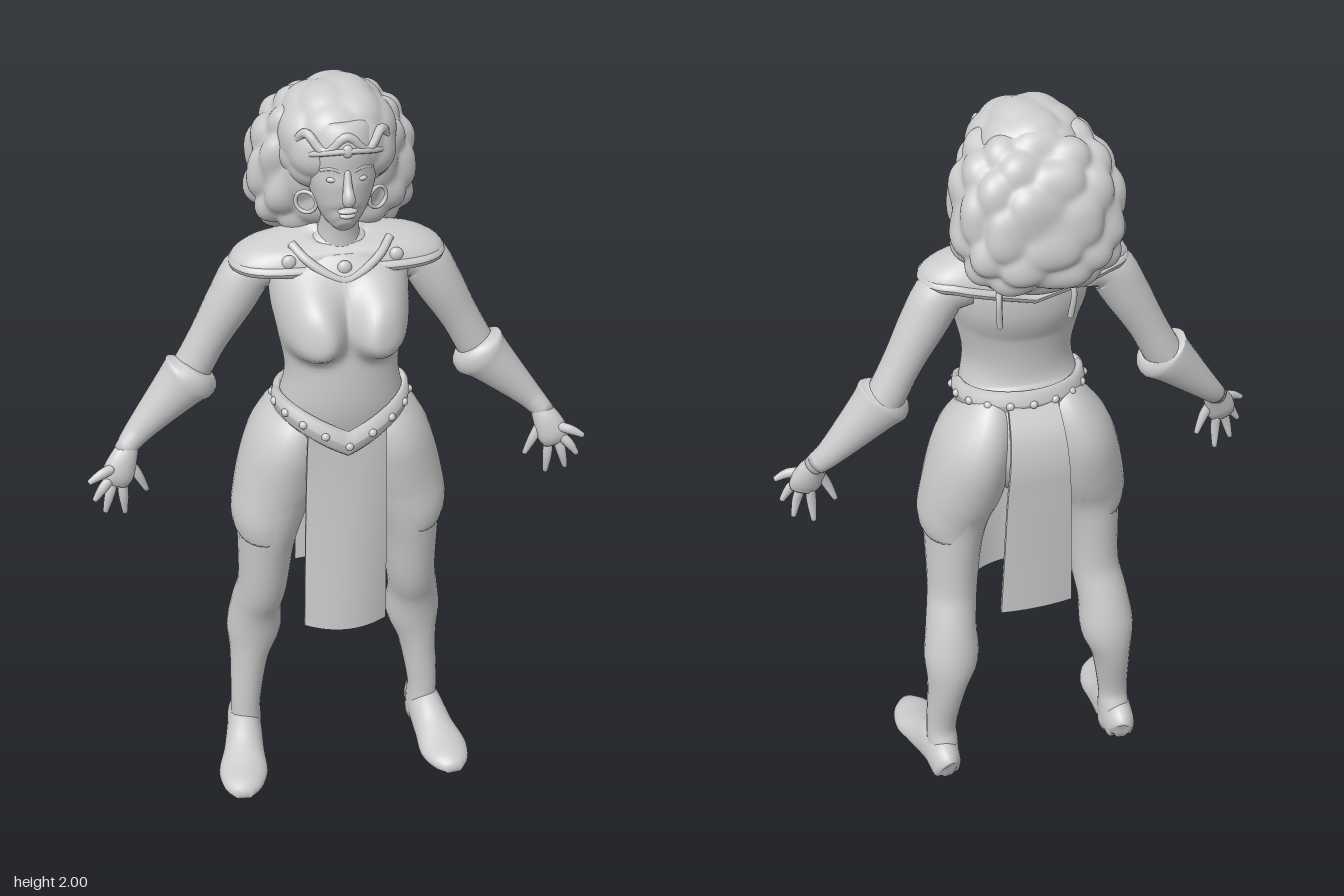
import * as THREE from 'three';
import { mergeVertices } from 'three/addons/utils/BufferGeometryUtils.js';

const V = (x, y, z) => new THREE.Vector3(x, y, z);

export function createModel() {
  const model = new THREE.Group();
  const clay = new THREE.MeshStandardMaterial({ color: 0xcccccc });
  clay.name = 'clay grey';

  function add(name, geometry, x = 0, y = 0, z = 0) {
    const mesh = new THREE.Mesh(geometry, clay);
    mesh.name = name;
    mesh.position.set(x, y, z);
    model.add(mesh);
    return mesh;
  }

  // Smooth closed loft through elliptical rings [x, y, z, halfWidth, halfDepth]
  function loft(rings, ref = V(0, 0, 1), around = 24, per = 4) {
    const path = new THREE.CatmullRomCurve3(rings.map(r => V(r[0], r[1], r[2])), false, 'catmullrom', 0.5);
    const size = new THREE.CatmullRomCurve3(rings.map(r => V(r[3], r[4], 0)), false, 'catmullrom', 0.5);
    const n = (rings.length - 1) * per, pos = [], idx = [];
    for (let i = 0; i <= n; i++) {
      const c = path.getPoint(i / n), s = size.getPoint(i / n), t = path.getTangent(i / n);
      const u = ref.clone().cross(t).normalize(), v = t.clone().cross(u);
      for (let j = 0; j < around; j++) {
        const a = j / around * Math.PI * 2;
        pos.push(...c.clone().addScaledVector(u, Math.cos(a) * s.x).addScaledVector(v, Math.sin(a) * s.y));
        if (i === n) continue;
        const k = (j + 1) % around, p = i * around, q = p + around;
        idx.push(p + j, p + k, q + j, p + k, q + k, q + j);
      }
    }
    const first = pos.length / 3, last = n * around;
    pos.push(...path.getPoint(0), ...path.getPoint(1));
    for (let j = 0; j < around; j++) {
      const k = (j + 1) % around;
      idx.push(first, k, j, first + 1, last + j, last + k);
    }
    const g = new THREE.BufferGeometry();
    g.setAttribute('position', new THREE.Float32BufferAttribute(pos, 3));
    g.setIndex(idx);
    g.computeVertexNormals();
    return g;
  }

  // Move every vertex by a rule
  function shape(g, rule) {
    const p = g.attributes.position, v = V(0, 0, 0);
    for (let i = 0; i < p.count; i++) {
      v.fromBufferAttribute(p, i);
      rule(v);
      p.setXYZ(i, v.x, v.y, v.z);
    }
    g.computeVertexNormals();
    return g;
  }

  const ball = (rx, ry, rz) => new THREE.SphereGeometry(1, 20, 14).scale(rx, ry, rz);
  const tube = (pts, r, seg = 32) =>
    new THREE.TubeGeometry(new THREE.CatmullRomCurve3(pts.map(p => V(...p))), seg, r, 8);

  // Rounded mass covered with soft curls, narrowing upwards by taper and leaning forward by lean
  function curls(rx, ry, rz, count, bump, boxy, taper, lean) {
    const seeds = [];
    for (let i = 0; i < count; i++) {
      const y = 1 - 2 * (i + 0.5) / count, r = Math.sqrt(1 - y * y), a = i * 2.39996;
      seeds.push(V(Math.cos(a) * r, y, Math.sin(a) * r));
    }
    let g = new THREE.IcosahedronGeometry(1, 26);
    g.deleteAttribute('normal');
    g.deleteAttribute('uv');
    g = mergeVertices(g, 1e-4);
    const soft = c => Math.sign(c) * Math.pow(Math.abs(c), boxy), reach = 5.5 / count;
    return shape(g, v => {
      const near = seeds.reduce((sum, s) => sum + Math.exp(-6 * s.distanceToSquared(v) / reach), 0);
      const k = 1 + bump * (0.9 + Math.log(near) / 6), w = 1 - taper * v.y, shift = lean * v.y;
      v.set(soft(v.x) * rx * w, soft(v.y) * ry, soft(v.z) * rz).multiplyScalar(k);
      v.z += shift;
    });
  }

  // Torso with bust, neck and head
  add('torso', shape(loft([
    [0, 0.92, 0.02, 0.07, 0.07], [0, 1.0, 0.025, 0.18, 0.115], [0, 1.08, 0.03, 0.195, 0.132],
    [0, 1.15, 0.05, 0.178, 0.122], [0, 1.22, 0.075, 0.156, 0.112], [0, 1.3, 0.08, 0.143, 0.11],
    [0, 1.4, 0.07, 0.16, 0.115], [0, 1.48, 0.045, 0.172, 0.12], [0, 1.55, 0.028, 0.165, 0.106],
    [0, 1.6, 0.024, 0.115, 0.084], [0, 1.64, 0.03, 0.05, 0.05]], V(0, 0, 1), 96, 8), v => {
    const u = (Math.abs(v.x) - 0.088) / 0.076, w = (v.y - 1.43) / (v.y > 1.43 ? 0.115 : 0.07);
    if (v.z > 0.03) v.z += 0.08 * Math.exp(-((u * u + w * w) ** 2)) * Math.min(1, (v.z - 0.03) / 0.06);
  }));
  add('neck', loft([[0, 1.58, 0.03, 0.065, 0.06], [0, 1.66, 0.04, 0.048, 0.052], [0, 1.75, 0.06, 0.05, 0.055]]));
  add('head', loft([
    [0, 1.682, 0.128, 0.018, 0.024], [0, 1.695, 0.116, 0.036, 0.046], [0, 1.72, 0.098, 0.057, 0.067],
    [0, 1.77, 0.078, 0.077, 0.089], [0, 1.82, 0.068, 0.085, 0.093], [0, 1.88, 0.062, 0.086, 0.099],
    [0, 1.93, 0.05, 0.07, 0.08], [0, 1.96, 0.05, 0.025, 0.03]], V(0, 0, 1), 32));
  add('nose', loft([[0, 1.84, 0.152, 0.008, 0.008], [0, 1.8, 0.164, 0.011, 0.014],
    [0, 1.775, 0.176, 0.016, 0.018], [0, 1.762, 0.166, 0.013, 0.012]], V(0, 0, 1), 14));
  add('upperLip', ball(0.024, 0.007, 0.012), 0, 1.739, 0.161);
  add('lowerLip', ball(0.02, 0.008, 0.012), 0, 1.727, 0.159);

  // Hair: big curly mass behind, smoother crown in front
  add('curlyHair', curls(0.19, 0.185, 0.14, 58, 0.13, 0.8, 0.13, 0.035), 0, 1.775, -0.08);
  add('hairCrown', curls(0.138, 0.122, 0.142, 26, 0.08, 0.9, 0.1, -0.01), 0, 1.872, -0.005);
  const band = [], waves = [];
  for (let i = -12; i <= 12; i++) {
    const a = i / 12 * 1.5;
    band.push([Math.sin(a) * 0.105, 1.872 + 0.014 * Math.cos(a * 2), 0.05 + Math.cos(a) * 0.11]);
    waves.push([Math.sin(a) * 0.112, 1.898 + 0.018 * Math.cos(a * 7), 0.042 + Math.cos(a) * 0.108]);
  }
  add('circlet', tube(band, 0.007, 48));
  add('circletCoils', tube(waves, 0.011, 96));
  add('circletGem', ball(0.013, 0.016, 0.009), 0, 1.885, 0.158);

  // Shoulder mantle with rolled rim, broad over the shoulders, sagging at the back
  const drape = v => {
    v.z = 0.018 + (v.z - 0.018) * (1 + 8 * v.x * v.x);
    if (v.z < 0) v.y -= 0.05 * Math.max(0, 1 - Math.abs(v.x) / 0.2) * Math.min(1, -v.z / 0.06);
  };
  add('mantle', shape(loft([
    [0, 1.55, 0.018, 0.24, 0.085], [0, 1.56, 0.018, 0.264, 0.094], [0, 1.588, 0.018, 0.252, 0.09],
    [0, 1.617, 0.02, 0.195, 0.079], [0, 1.638, 0.025, 0.09, 0.062], [0, 1.645, 0.03, 0.05, 0.05]], V(0, 0, 1), 56), drape));
  add('mantleRim', shape(new THREE.TorusGeometry(1, 0.1, 8, 64).rotateX(Math.PI / 2), v => {
    const a = Math.atan2(v.z, v.x), r = Math.hypot(v.x, v.z) - 1;
    v.set(Math.cos(a) * (0.257 + r * 0.1), 1.563 + v.y * 0.14, 0.018 + Math.sin(a) * (0.092 + r * 0.1));
    drape(v);
  }));
  add('necklace', tube([[-0.12, 1.622, 0.07], [-0.09, 1.595, 0.106], [-0.04, 1.562, 0.13], [0, 1.547, 0.136],
    [0.04, 1.562, 0.13], [0.09, 1.595, 0.106], [0.12, 1.622, 0.07]], 0.011));
  add('pendant', ball(0.018, 0.018, 0.012), 0, 1.575, 0.124);

  // Belt dipping to a point in front, with studs
  const dip = (x, front) => front ? 0.085 * Math.max(0, 1 - Math.abs(x) / 0.17) : 0;
  add('belt', shape(new THREE.TorusGeometry(1, 0.2, 8, 80).rotateX(Math.PI / 2), v => {
    const a = Math.atan2(v.z, v.x), r = Math.hypot(v.x, v.z) - 1, x = Math.cos(a) * (0.16 + r * 0.08);
    v.set(x, 1.203 + v.y * 0.18 - dip(x, v.z > 0), 0.068 + Math.sin(a) * (0.122 + r * 0.08));
  }));
  for (let i = 0; i < 18; i++) {
    const a = (i + 0.5) / 18 * Math.PI * 2, x = Math.cos(a) * 0.173;
    add('beltStud', ball(0.011, 0.011, 0.011), x, 1.203 - dip(x, Math.sin(a) > 0), 0.068 + Math.sin(a) * 0.135);
  }

  // Hanging cloth: side line as [y, z] points, widths at top and bottom
  function cloth(name, line, top, bottom, bow) {
    const curve = new THREE.CatmullRomCurve3(line.map(p => V(0, p[0], p[1])));
    add(name, shape(new THREE.BoxGeometry(1, 1, 0.01, 12, 24, 1), v => {
      const k = 0.5 - v.y, c = curve.getPoint(k), x = v.x * (top + (bottom - top) * k);
      v.set(x, c.y, c.z + v.z - bow * x * x * (0.2 + 0.8 * k));
    }));
  }
  cloth('frontCloth', [[1.14, 0.175], [1.0, 0.176], [0.8, 0.18], [0.525, 0.184]], 0.2, 0.222, 3);
  cloth('backCloth', [[1.2, -0.06], [1.13, -0.104], [1.05, -0.122], [0.95, -0.12], [0.75, -0.11], [0.57, -0.102]], 0.13, 0.2, -0.8);

  // Paired parts
  for (const s of [1, -1]) {
    const side = s > 0 ? 'left' : 'right';
    const limb = (name, rings, ref, around) =>
      add(side + name, loft(rings.map(([x, ...rest]) => [x * s, ...rest]), ref, around));

    add(side + 'Eye', ball(0.014, 0.007, 0.008), 0.034 * s, 1.815, 0.149);
    add(side + 'Brow', tube([[0.015 * s, 1.836, 0.155], [0.036 * s, 1.842, 0.149], [0.058 * s, 1.834, 0.132]], 0.005, 10));
    add(side + 'Earring', new THREE.TorusGeometry(0.026, 0.005, 8, 24).rotateY(0.5 * s), 0.086 * s, 1.735, 0.085);
    add(side + 'Brooch', ball(0.018, 0.018, 0.012), 0.13 * s, 1.588, 0.1);
    add(side + 'BackTassel', tube([[0.09 * s, 1.56, -0.075], [0.095 * s, 1.52, -0.088], [0.09 * s, 1.45, -0.078]], 0.008, 10));

    limb('Leg', [
      [0.085, 1.2, 0.045, 0.05, 0.08], [0.108, 1.13, 0.03, 0.08, 0.122], [0.137, 1.05, 0.025, 0.1, 0.138],
      [0.16, 0.95, 0.03, 0.105, 0.125], [0.183, 0.85, 0.04, 0.092, 0.108], [0.195, 0.75, 0.035, 0.077, 0.096],
      [0.205, 0.6, 0.02, 0.068, 0.08], [0.22, 0.5, -0.015, 0.07, 0.073], [0.228, 0.4, -0.037, 0.076, 0.073],
      [0.243, 0.3, -0.037, 0.055, 0.064], [0.259, 0.15, -0.022, 0.043, 0.044], [0.26, 0.08, -0.03, 0.044, 0.054],
      [0.262, 0.01, -0.038, 0.046, 0.062]]);
    limb('ShortsLeg', [
      [0.085, 1.2, 0.045, 0.05, 0.08], [0.108, 1.13, 0.03, 0.082, 0.123], [0.138, 1.05, 0.025, 0.102, 0.139],
      [0.162, 0.95, 0.03, 0.108, 0.127], [0.187, 0.87, 0.039, 0.099, 0.111], [0.194, 0.83, 0.041, 0.092, 0.105],
      [0.193, 0.79, 0.039, 0.08, 0.099]], V(0, 0, 1), 28);
    const foot = limb('Foot', [
      [0.262, 0.03, -0.105, 0.02, 0.035], [0.264, 0.035, -0.088, 0.042, 0.065], [0.268, 0.045, -0.01, 0.05, 0.072],
      [0.279, 0.025, 0.07, 0.058, 0.056], [0.29, 0.014, 0.14, 0.069, 0.042], [0.298, 0.012, 0.2, 0.054, 0.032],
      [0.302, 0.012, 0.236, 0.024, 0.018]], V(0, 1, 0), 28);
    shape(foot.geometry, v => { v.y = Math.max(v.y, 0); });

    limb('Arm', [
      [0.15, 1.54, 0, 0.05, 0.055], [0.212, 1.53, 0, 0.062, 0.06], [0.26, 1.455, 0, 0.06, 0.06],
      [0.32, 1.35, -0.004, 0.05, 0.052], [0.375, 1.25, -0.006, 0.05, 0.05], [0.43, 1.19, 0, 0.045, 0.046],
      [0.5, 1.12, 0.015, 0.034, 0.036], [0.555, 1.06, 0.038, 0.026, 0.026]]);
    limb('Bracer', [
      [0.354, 1.272, 0, 0.05, 0.05], [0.37, 1.25, 0.003, 0.077, 0.064], [0.402, 1.218, 0.004, 0.065, 0.06],
      [0.5, 1.118, 0.015, 0.038, 0.039], [0.545, 1.07, 0.03, 0.028, 0.028]]);
    limb('Palm', [
      [0.535, 1.08, 0.03, 0.024, 0.024], [0.555, 1.045, 0.046, 0.036, 0.028], [0.573, 1.005, 0.056, 0.042, 0.026],
      [0.583, 0.978, 0.058, 0.034, 0.015]], V(0, 0, 1), 16);
    // Fingers: root and tip
    [[0.583, 1.03, 0.064, 0.648, 1.006, 0.086], [0.592, 1.0, 0.064, 0.637, 0.945, 0.076],
      [0.585, 0.988, 0.06, 0.612, 0.898, 0.062], [0.563, 0.985, 0.054, 0.562, 0.882, 0.05],
      [0.542, 1.035, 0.046, 0.502, 0.942, 0.045]].forEach(([x, y, z, X, Y, Z]) => limb('Finger', [
      [x, y, z, 0.013, 0.013], [(x + X) / 2, (y + Y) / 2 + 0.005, (z + Z) / 2 + 0.004, 0.013, 0.012],
      [X, Y, Z, 0.007, 0.007]], V(0, 0, 1), 10));
  }
  return model;
}
